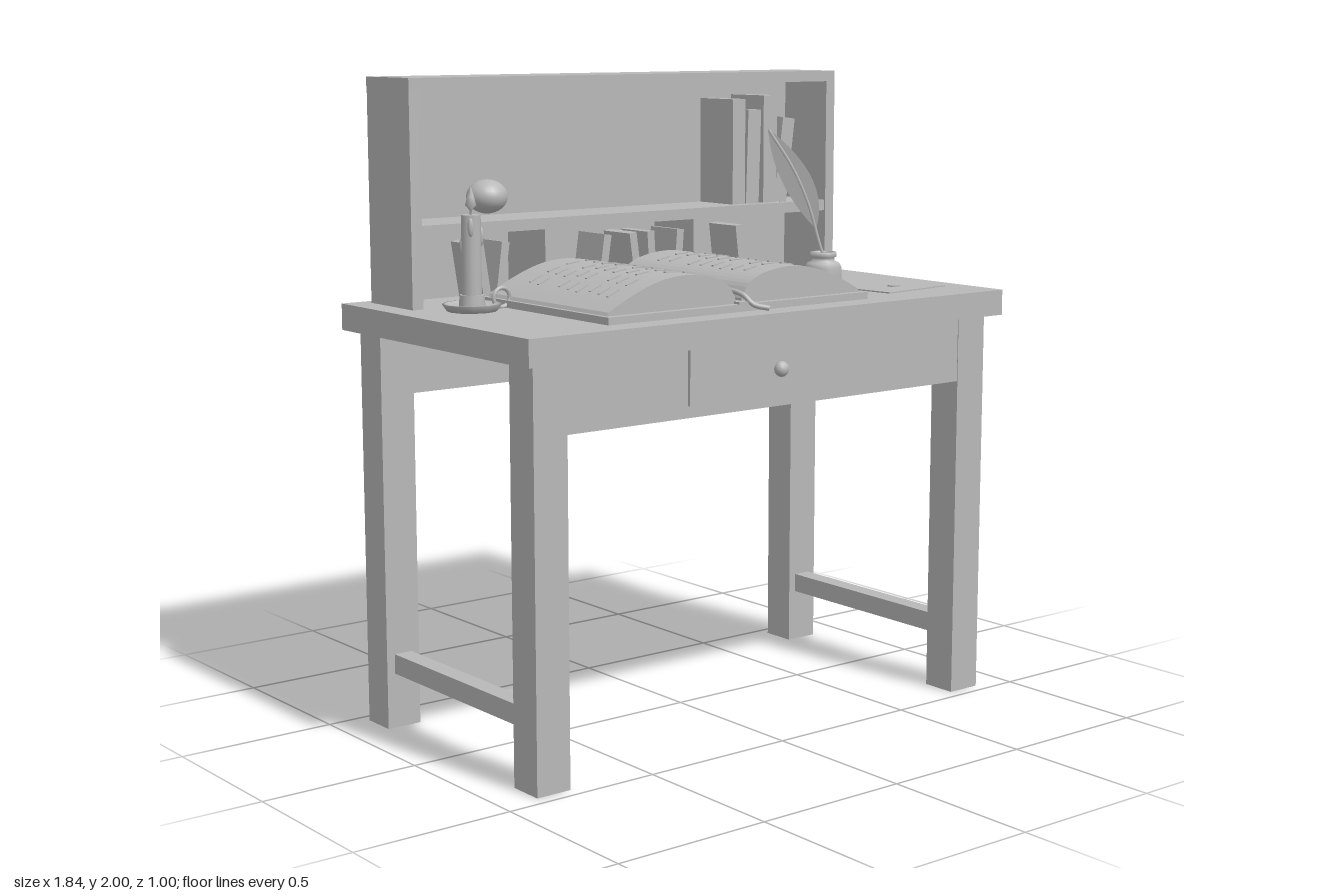
import * as THREE from 'three';

const wood = new THREE.MeshStandardMaterial({ name: 'plain grey', color: 0xb8b8b8 });
const thin = new THREE.MeshStandardMaterial({ name: 'plain grey thin', color: 0xb8b8b8, side: THREE.DoubleSide });

function add(parent, name, geometry, x = 0, y = 0, z = 0, material = wood) {
  const mesh = new THREE.Mesh(geometry, material);
  mesh.name = name;
  mesh.position.set(x, y, z);
  parent.add(mesh);
  return mesh;
}

// Box given by its extents
function box(parent, name, x0, x1, y0, y1, z0, z1) {
  return add(parent, name, new THREE.BoxGeometry(x1 - x0, y1 - y0, z1 - z0),
    (x0 + x1) / 2, (y0 + y1) / 2, (z0 + z1) / 2);
}

function group(parent, name, x = 0, y = 0, z = 0) {
  const g = new THREE.Group();
  g.name = name;
  g.position.set(x, y, z);
  parent.add(g);
  return g;
}

const lathe = (pts, n) => new THREE.LatheGeometry(pts.map(p => new THREE.Vector2(...p)), n);
const TOP = 1.316;

function buildTable(root) {
  const g = group(root, 'table');
  box(g, 'tabletop', -0.92, 0.92, 1.235, TOP, -0.5, 0.5);
  for (const s of [-1, 1]) {
    for (const t of [-1, 1]) {
      add(g, 'leg', new THREE.BoxGeometry(0.115, 1.235, 0.115), s * 0.8225, 0.6175, t * 0.4025);
    }
    add(g, 'sideStretcher', new THREE.BoxGeometry(0.06, 0.062, 0.7), s * 0.8225, 0.204, 0);
    add(g, 'apron', new THREE.BoxGeometry(1.54, 0.207, 0.035), 0, 1.1325, s * 0.44);
  }
  box(g, 'drawerFront', -0.335, 0.33, 1.065, 1.234, 0.45, 0.468);
  const knob = add(g, 'drawerKnob', new THREE.SphereGeometry(0.024, 12, 8), 0, 1.145, 0.484);
  knob.scale.z = 0.85;
}

function buildHutch(root) {
  const g = group(root, 'hutch');
  box(g, 'backPanel', -0.835, 0.835, TOP, 1.975, -0.455, -0.43);
  box(g, 'topBoard', -0.84, 0.84, 1.965, 2, -0.46, -0.22);
  for (const s of [-1, 1]) {
    add(g, 'sidePanel', new THREE.BoxGeometry(0.037, 0.65, 0.238), s * 0.8215, 1.641, -0.339);
  }
  box(g, 'shelf', -0.805, 0.805, 1.53, 1.565, -0.435, -0.225);
  for (const x of [-0.337, 0.25]) box(g, 'divider', x - 0.018, x + 0.018, TOP, 1.53, -0.435, -0.225);

  // Leaning letters in the pigeonholes: x, tilt
  for (const [x, tilt] of [[-0.56, 0.16], [-0.49, -0.14], [-0.10, -0.15], [0.025, 0.14],
    [0.09, 0.06], [0.2, -0.08], [0.465, 0.12]]) {
    const letter = add(g, 'letter', new THREE.BoxGeometry(0.028, 0.175, 0.14), x, 1.409, -0.33);
    letter.rotation.z = tilt;
  }
  // Books on the shelf: x, width, height, tilt
  for (const [x, w, h, tilt] of [[0.437, 0.053, 0.345, 0], [0.5, 0.055, 0.31, -0.03],
    [0.572, 0.058, 0.355, 0], [0.636, 0.052, 0.28, -0.13]]) {
    const book = add(g, 'shelfBook', new THREE.BoxGeometry(w, h, 0.17), x, 1.567 + h / 2, -0.325);
    book.rotation.z = tilt;
  }
  const ball = add(g, 'shelfOrnament', new THREE.SphereGeometry(0.064, 24, 16), -0.505, 1.633, -0.32);
  ball.scale.y = 0.82;
}

function buildOpenBook(root) {
  const g = group(root, 'openBook', -0.085, 0, 0);
  for (const s of [-1, 1]) {
    box(g, 'cover', Math.min(s * 0.015, s * 0.5), Math.max(s * 0.015, s * 0.5), TOP, 1.338, -0.23, 0.41);

    // Bulging page block
    const curve = new THREE.SplineCurve([[0.012, 1.352], [0.04, 1.395], [0.1, 1.423], [0.2, 1.436],
      [0.3, 1.424], [0.4, 1.388], [0.48, 1.348]].map(([u, y]) => new THREE.Vector2(s * u, y)));
    const shape = new THREE.Shape([new THREE.Vector2(s * 0.012, 1.336),
      ...curve.getPoints(24), new THREE.Vector2(s * 0.488, 1.336)]);
    add(g, 'pages', new THREE.ExtrudeGeometry(shape, { depth: 0.605, bevelEnabled: false }), 0, 0, -0.22);

    // Rows of short strokes lying on the page
    for (let row = 0; row < 9; row++) {
      for (let i = 0; i < 5; i++) {
        if ((row * 3 + i * 2 + (s > 0 ? 1 : 0)) % 7 === 0) continue;
        const t = 0.24 + i * 0.14 + (row % 3) * 0.012;
        const p = curve.getPointAt(t), d = curve.getTangentAt(t);
        const stroke = add(g, 'pageStroke', new THREE.BoxGeometry(0.045, 0.006, 0.009),
          p.x, p.y, -0.11 + row * 0.051);
        stroke.rotation.z = Math.atan(d.y / d.x);
      }
    }
  }
  box(g, 'spine', -0.018, 0.018, TOP, 1.345, -0.23, 0.41);

  // Ribbon marker hanging out of the gutter
  const path = new THREE.CatmullRomCurve3([[0, 1.385, 0.17], [0.008, 1.375, 0.3], [0.015, 1.362, 0.39],
    [0.03, 1.335, 0.42], [0.065, 1.325, 0.45]].map(p => new THREE.Vector3(...p)));
  add(g, 'ribbon', new THREE.TubeGeometry(path, 20, 0.008, 6));
}

function buildCandle(root) {
  const g = group(root, 'candlestick', -0.705, TOP, -0.105);
  add(g, 'dish', lathe([[0, 0], [0.075, 0], [0.09, 0.022], [0.082, 0.022], [0.07, 0.01], [0, 0.01]], 12));
  add(g, 'socket', new THREE.CylinderGeometry(0.037, 0.04, 0.04, 12), 0, 0.028, 0);
  add(g, 'candle', new THREE.CylinderGeometry(0.029, 0.03, 0.26, 12), 0, 0.155, 0);
  add(g, 'flame', lathe([[0.003, 0], [0.004, 0.016], [0.017, 0.03], [0.011, 0.055], [0, 0.088]], 8), 0, 0.283, 0);
  for (const [a, y] of [[0.3, 0.22], [2.2, 0.25], [4.2, 0.19]]) {
    const drip = add(g, 'waxDrip', new THREE.SphereGeometry(0.009, 8, 6),
      Math.cos(a) * 0.03, y, Math.sin(a) * 0.03);
    drip.scale.y = 3.2;
  }
  add(g, 'ringHandle', new THREE.TorusGeometry(0.029, 0.007, 6, 16), 0.105, 0.032, 0);
}

function buildInkAndQuill(root) {
  const g = group(root, 'inkwell', 0.567, TOP, 0.035);
  add(g, 'bottle', lathe([[0, 0], [0.056, 0], [0.06, 0.01], [0.06, 0.058], [0.052, 0.072],
    [0.036, 0.08], [0.036, 0.09], [0.043, 0.092], [0.043, 0.107], [0.028, 0.107], [0.028, 0.085], [0, 0.085]], 16));

  // Quill: drawn in one vertical plane, then turned to lean back and to the right
  const quill = group(g, 'quill');
  quill.rotation.y = Math.PI - Math.atan2(-0.15, 0.112);
  quill.rotation.y = Math.atan2(0.15, -0.112);
  const shaft = new THREE.CatmullRomCurve3([[-0.012, 0.06], [0.015, 0.14], [0.05, 0.26], [0.105, 0.38], [0.183, 0.498]]
    .map(([u, y]) => new THREE.Vector3(u, y, 0)));
  add(quill, 'quillShaft', new THREE.TubeGeometry(shaft, 20, 0.005, 6));
  const vane = new THREE.Shape();
  vane.moveTo(0.025, 0.18);
  vane.bezierCurveTo(-0.005, 0.28, 0.03, 0.39, 0.187, 0.503);
  vane.bezierCurveTo(0.18, 0.4, 0.13, 0.28, 0.025, 0.18);
  add(quill, 'quillVane', new THREE.ShapeGeometry(vane, 12), 0, 0, 0, thin);
}

function buildNote(root) {
  const g = group(root, 'sealedNote', 0.69, TOP, 0.25);
  g.rotation.y = 0.12;
  add(g, 'paper', new THREE.BoxGeometry(0.28, 0.004, 0.18), 0, 0.002, 0);
  add(g, 'waxSeal', new THREE.CylinderGeometry(0.02, 0.02, 0.005, 14), 0, 0.006, -0.01);
}

export function createModel() {
  const root = new THREE.Group();
  root.name = 'writingDesk';
  buildTable(root);
  buildHutch(root);
  buildOpenBook(root);
  buildCandle(root);
  buildInkAndQuill(root);
  buildNote(root);
  return root;
}
